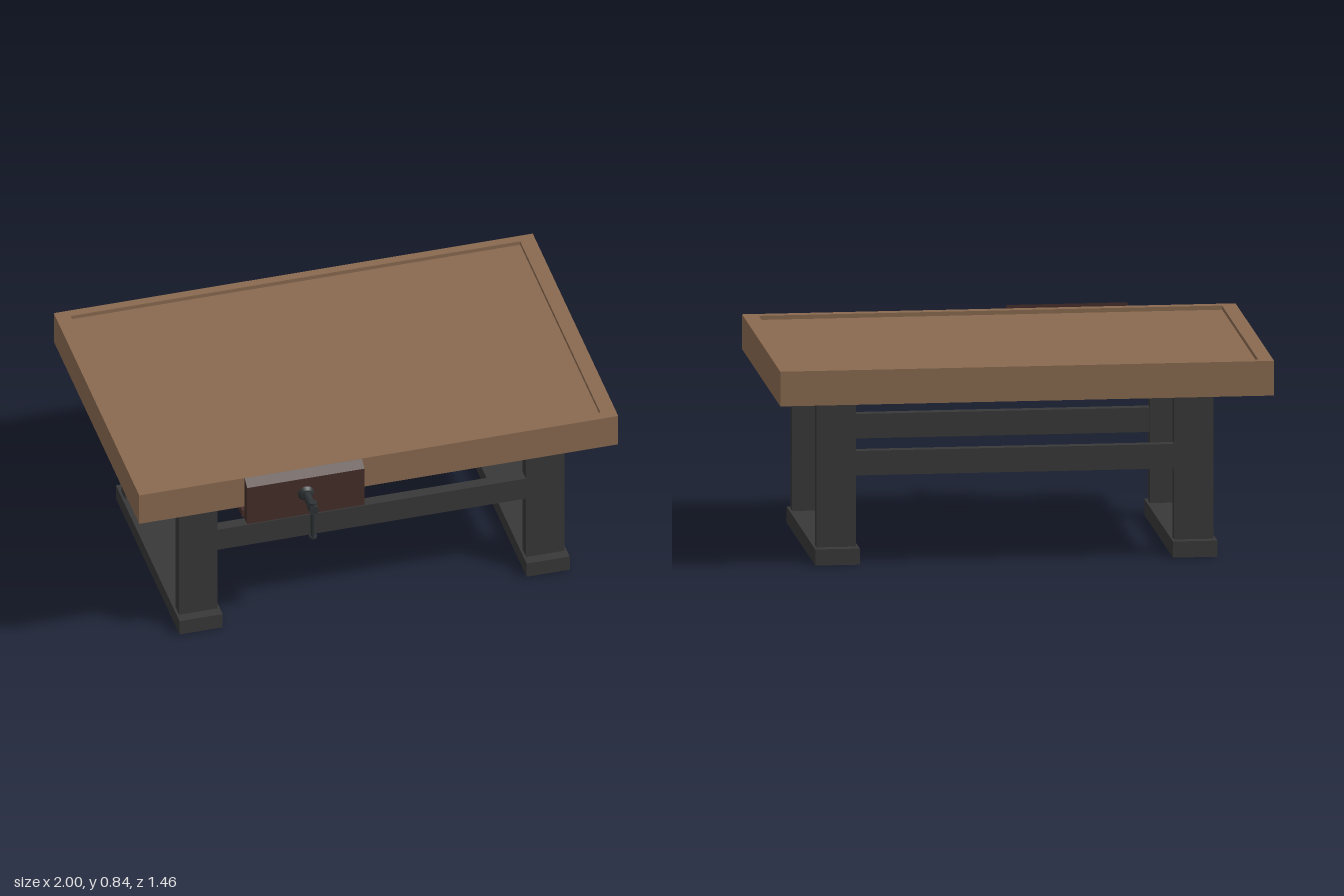
import * as THREE from 'three';

const material = (color) => new THREE.MeshStandardMaterial({ color });

export function createModel() {
  const model = new THREE.Group();
  const wood = material(0x8a6a50);
  const frame = material(0x383838);
  const viseWood = material(0x452d29);
  const steel = material(0x2f3335);

  const add = (name, geometry, mat, parent = model) => {
    const mesh = new THREE.Mesh(geometry, mat);
    mesh.name = name;
    parent.add(mesh);
    return mesh;
  };
  // Box given by its extents along each axis
  const box = (name, [x0, x1], [y0, y1], [z0, z1], mat, parent) => {
    const mesh = add(name, new THREE.BoxGeometry(x1 - x0, y1 - y0, z1 - z0), mat, parent);
    mesh.position.set((x0 + x1) / 2, (y0 + y1) / 2, (z0 + z1) / 2);
    return mesh;
  };
  const rectangle = (Type, x0, x1, z0, z1) => new Type([
    new THREE.Vector2(x0, -z1), new THREE.Vector2(x1, -z1),
    new THREE.Vector2(x1, -z0), new THREE.Vector2(x0, -z0),
  ]);

  // Table top: slab with a raised rim around a shallow recess
  const top = new THREE.Group();
  top.name = 'tableTop';
  model.add(top);
  const recessY = 0.815, topY = 0.832, baseY = 0.69;
  const outline = rectangle(THREE.Shape, -1, 1, -0.727, 0.552);
  outline.holes.push(rectangle(THREE.Path, -0.94, 0.937, -0.69, 0.51));
  const rim = new THREE.ExtrudeGeometry(outline, { depth: topY - baseY, bevelEnabled: false });
  rim.rotateX(-Math.PI / 2).translate(0, baseY, 0);
  add('topRim', rim, wood, top);
  box('recessedPanel', [-0.94, 0.937], [baseY, recessY], [-0.69, 0.51], wood, top);

  // Trestle ends: a foot with two legs each
  const legZ = [[0.32, 0.375], [-0.49, -0.437]];
  for (const [side, x] of [['right', -0.704], ['left', 0.745]]) {
    box(`${side}Foot`, [x - 0.09, x + 0.09], [0, 0.066], [-0.535, 0.418], frame);
    legZ.forEach((z, i) =>
      box(`${side}${i ? 'Back' : 'Front'}Leg`, [x - 0.08, x + 0.08], [0.066, baseY], z, frame));
  }
  // Stretchers between the legs
  legZ.forEach(([z0, z1], i) =>
    box(i ? 'backStretcher' : 'frontStretcher', [-0.624, 0.665], [0.356, 0.456], [z0 + 0.004, z1 - 0.004], frame));

  // Vise: jaw with a sloping top, support plate, screw and handle
  const vise = new THREE.Group();
  vise.name = 'vise';
  model.add(vise);
  const profile = new THREE.Shape([
    [-0.605, 0.64], [-0.567, 0.64], [-0.567, 0.843], [-0.605, 0.82],
  ].map(([z, y]) => new THREE.Vector2(z, y)));
  const jaw = new THREE.ExtrudeGeometry(profile, { depth: 0.49, bevelEnabled: false });
  jaw.rotateY(Math.PI / 2).translate(-0.564, 0, 0);
  add('jaw', jaw, viseWood, vise);
  box('supportPlate', [-0.573, -0.067], [0.645, 0.677], [0.26, 0.562], viseWood, vise);

  const screwX = -0.319, screwY = 0.746;
  const alongZ = (name, rFront, rBack, z0, z1) => {
    const g = new THREE.CylinderGeometry(rFront, rBack, z1 - z0, 20);
    g.rotateX(Math.PI / 2);
    add(name, g, steel, vise).position.set(screwX, screwY, (z0 + z1) / 2);
  };
  alongZ('screwCollar', 0.022, 0.036, 0.603, 0.617);
  alongZ('screw', 0.017, 0.017, 0.61, 0.7);
  alongZ('screwHead', 0.02, 0.02, 0.692, 0.73);

  const alongY = (name, r, y0, y1) =>
    add(name, new THREE.CylinderGeometry(r, r, y1 - y0, 16), steel, vise)
      .position.set(screwX, (y0 + y1) / 2, 0.711);
  alongY('handleBar', 0.011, 0.605, 0.775);
  alongY('handleTopCap', 0.016, 0.766, 0.778);
  alongY('handleBottomCap', 0.016, 0.602, 0.611);

  return model;
}
